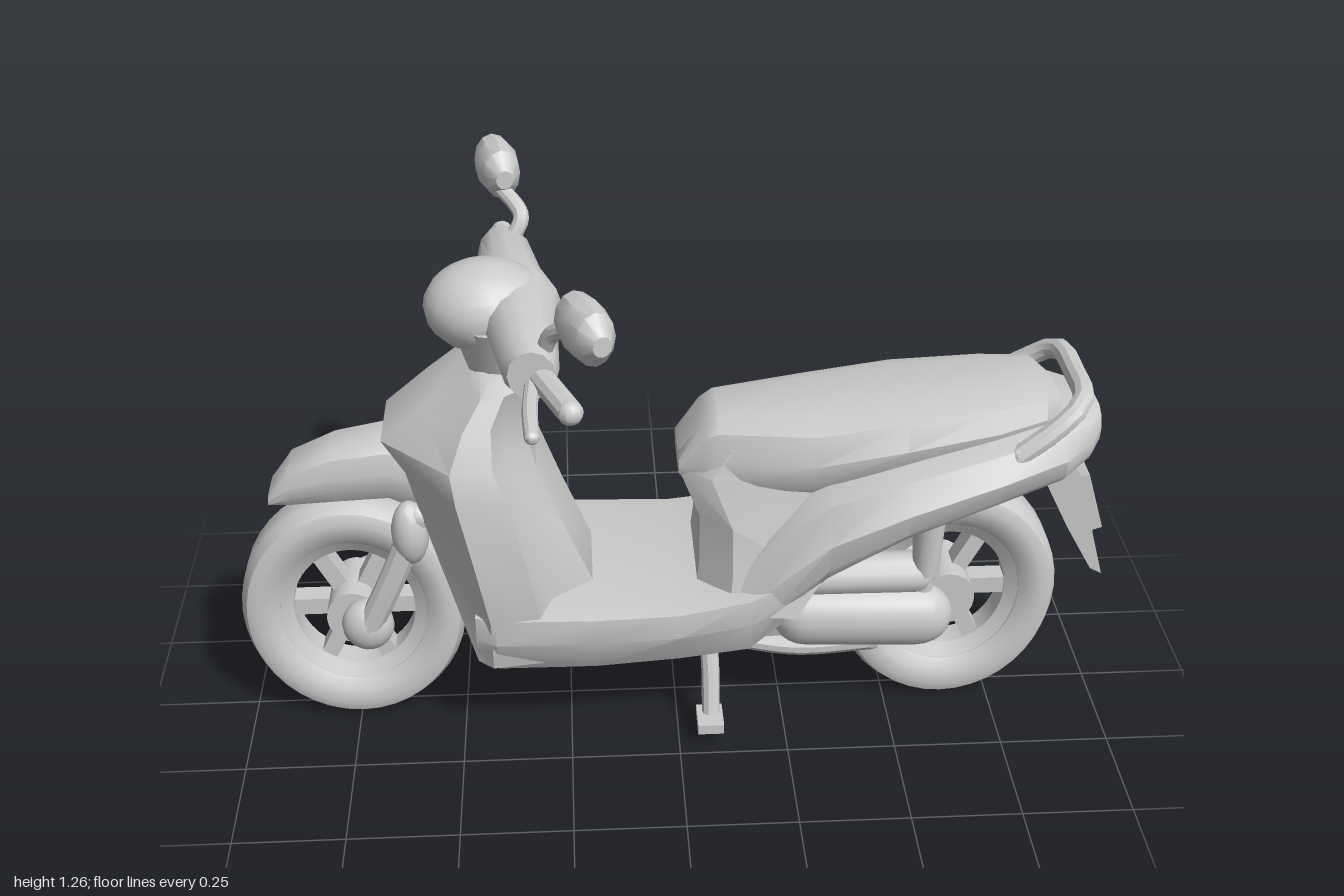
import * as THREE from 'three';
import { toCreasedNormals } from 'three/addons/utils/BufferGeometryUtils.js';

const grey = new THREE.MeshStandardMaterial({ color: 0xcccccc });
grey.name = 'grey';

export function createModel() {
  const model = new THREE.Group();
  model.name = 'scooter';

  const add = (name, geo, parent = model) => {
    const mesh = new THREE.Mesh(toCreasedNormals(geo, 0.6), grey);
    mesh.name = name;
    parent.add(mesh);
    return mesh;
  };

  // Closed skin through equal-length rings of [x, y, z], wound outward
  const loft = (rings) => {
    const n = rings[0].length, last = (rings.length - 1) * n, pos = rings.flat(2), idx = [];
    for (let r = 0; r < rings.length - 1; r++) {
      for (let i = 0; i < n; i++) {
        const a = r * n + i, b = r * n + (i + 1) % n;
        idx.push(a, b, a + n, b, b + n, a + n);
      }
    }
    for (let i = 1; i < n - 1; i++) idx.push(0, i + 1, i, last, last + i, last + i + 1);
    const p = (i) => new THREE.Vector3().fromArray(pos, idx[i] * 3);
    let volume = 0;
    for (let i = 0; i < idx.length; i += 3) volume += p(i).dot(p(i + 1).cross(p(i + 2)));
    if (volume < 0) idx.reverse();
    const geo = new THREE.BufferGeometry();
    geo.setAttribute('position', new THREE.Float32BufferAttribute(pos, 3));
    geo.setIndex(idx);
    return geo;
  };

  // Mirrors half a section [across, up] into a full loop
  const mirrored = (half) => [...half, ...half.map(([a, b]) => [-a, b]).reverse()];

  // Lengthwise hull: stations of [x, bottom, top, halfWidth]
  const hull = (name, stations, half) => add(name, loft(stations.map(([x, y0, y1, w]) =>
    mirrored(half).map(([fz, fy]) => [x, y0 + (y1 - y0) * fy, w * fz]))));

  // Oval rings along z: [z, centre x, centre y, x radius, y radius]
  const ovals = (stations) => loft(stations.map(([z, cx, cy, rx, ry]) =>
    Array.from({ length: 12 }, (_, i) => {
      const a = i * Math.PI / 6;
      return [cx + rx * Math.cos(a), cy + ry * Math.sin(a), z];
    })));

  const tube = (name, pts, r, parent) => {
    const curve = new THREE.CatmullRomCurve3(pts.map((p) => new THREE.Vector3(...p)));
    add(name, new THREE.TubeGeometry(curve, 16, r, 10), parent);
    for (const end of [pts[0], pts[pts.length - 1]]) {
      add(name + 'End', new THREE.SphereGeometry(r, 10, 8).translate(...end), parent);
    }
  };

  const blob = (name, c, s, parent) =>
    add(name, new THREE.SphereGeometry(1, 18, 12).scale(...s).translate(...c), parent);

  // Wheels, slightly taller than long
  const ringOf = (pairs) => new THREE.LatheGeometry(
    pairs.map(([r, y]) => new THREE.Vector2(r, y)), 40).rotateX(Math.PI / 2);
  const tyre = [[0.19, -0.05], [0.215, -0.066], [0.25, -0.073], [0.275, -0.064], [0.291, -0.035],
    [0.291, 0.035], [0.275, 0.064], [0.25, 0.073], [0.215, 0.066], [0.19, 0.05], [0.19, -0.05]];
  const rim = [[0.158, -0.03], [0.2, -0.052], [0.2, 0.052], [0.158, 0.03], [0.158, -0.03]];
  for (const [name, x] of [['frontWheel', -0.745], ['rearWheel', 0.637]]) {
    const wheel = new THREE.Group();
    wheel.name = name;
    wheel.position.set(x, 0.292, 0);
    wheel.scale.x = 0.885;
    add('tyre', ringOf(tyre), wheel);
    add('rim', ringOf(rim), wheel);
    add('hub', new THREE.CylinderGeometry(0.068, 0.068, 0.15, 20).rotateX(Math.PI / 2), wheel);
    for (let i = 0; i < 6; i++) {
      add('spoke', new THREE.BoxGeometry(0.042, 0.13, 0.05).translate(0, 0.11, 0)
        .rotateZ(i * Math.PI / 3 + Math.PI / 6), wheel);
    }
    model.add(wheel);
  }

  // Section shapes: [share of half width, share of height]
  const soft = [[0.5, 1], [0.85, 0.88], [1, 0.55], [0.95, 0.25], [0.75, 0]];
  const fairing = [[0.55, 1], [0.85, 0.85], [1, 0.5], [0.95, 0.2], [0.8, 0]];
  const slab = [[0.85, 1], [0.98, 0.96], [1, 0.6], [0.78, 0]];

  hull('frontFender', [[-0.91, 0.585, 0.61, 0.055], [-0.86, 0.59, 0.68, 0.07],
    [-0.76, 0.6, 0.725, 0.08], [-0.64, 0.61, 0.745, 0.09], [-0.54, 0.56, 0.73, 0.09]], soft);

  hull('footFloor', [[-0.455, 0.25, 0.4, 0.24], [-0.41, 0.228, 0.4, 0.258], [-0.19, 0.226, 0.395, 0.258],
    [0, 0.235, 0.395, 0.25], [0.16, 0.25, 0.42, 0.24], [0.24, 0.31, 0.45, 0.22]], slab);

  // Leg shield: [y, nose x, nose half width, edge x, edge half width, wing x, back x]
  add('legShield', loft([
    [0.25, -0.455, 0.2, -0.42, 0.23, -0.31, -0.19],
    [0.39, -0.5, 0.17, -0.42, 0.26, -0.31, -0.19],
    [0.55, -0.55, 0.14, -0.45, 0.26, -0.34, -0.255],
    [0.7, -0.595, 0.11, -0.48, 0.26, -0.375, -0.31],
    [0.77, -0.645, 0.09, -0.49, 0.245, -0.4, -0.325],
    [0.85, -0.55, 0.09, -0.46, 0.21, -0.4, -0.32],
    [0.91, -0.45, 0.08, -0.42, 0.175, -0.37, -0.29],
    [0.93, -0.42, 0.07, -0.4, 0.12, -0.36, -0.29],
  ].map(([y, xn, wn, xe, we, xw, xb]) =>
    mirrored([[wn, xn], [we, xe], [we - 0.015, xw], [0.18 - 0.07 * (y - 0.25), xw + 0.03], [0.1, xb]])
      .map(([z, x]) => [x, y, z]))));

  // Column below the seat: [y, front x, back x, half width]
  add('seatColumn', loft([[0.36, 0.04, 0.26, 0.21], [0.45, 0.05, 0.32, 0.19],
    [0.56, 0.05, 0.42, 0.165], [0.67, 0.005, 0.5, 0.13], [0.74, 0.05, 0.5, 0.125],
  ].map(([y, x0, x1, w]) => mirrored([[w * 0.6, x0], [w, x0 + 0.07], [w * 1.1, x1]])
    .map(([z, x]) => [x, y, z]))));

  hull('rearFairing', [[0.08, 0.27, 0.41, 0.2], [0.2, 0.3, 0.57, 0.225], [0.33, 0.45, 0.68, 0.255],
    [0.5, 0.55, 0.73, 0.258], [0.7, 0.62, 0.775, 0.235], [0.85, 0.655, 0.795, 0.185],
    [0.92, 0.68, 0.79, 0.12], [0.945, 0.7, 0.785, 0.08]], fairing);

  hull('seat', [[0.005, 0.65, 0.695, 0.085], [0.06, 0.6, 0.775, 0.115], [0.09, 0.6, 0.795, 0.125],
    [0.3, 0.62, 0.803, 0.175], [0.5, 0.66, 0.83, 0.175], [0.7, 0.7, 0.845, 0.155],
    [0.81, 0.73, 0.85, 0.125], [0.85, 0.75, 0.82, 0.08]], soft);

  tube('grabRail', [[0.74, 0.74, 0.18], [0.82, 0.795, 0.165], [0.88, 0.84, 0.13], [0.893, 0.843, 0],
    [0.88, 0.84, -0.13], [0.82, 0.795, -0.165], [0.74, 0.74, -0.18]], 0.024);

  // Rear mudguard and plate
  add('mudguard', loft([[0.79, 0.88, 0.68], [0.85, 0.945, 0.56], [0.905, 0.965, 0.45], [0.97, 0.998, 0.335]]
    .map(([x0, x1, y]) => [[x0, y + 0.015, 0.052], [x1, y, 0.052], [x1, y, -0.052], [x0, y + 0.015, -0.052]])));
  add('plate', new THREE.BoxGeometry(0.03, 0.15, 0.1).rotateZ(0.3).translate(0.95, 0.53, 0));

  // Handlebar housing, turned a little
  add('handlebarCover', ovals([[-0.31, 0.05, 0.055], [-0.28, 0.06, 0.063], [-0.12, 0.075, 0.07],
    [0, 0.1, 0.085], [0.12, 0.075, 0.07], [0.28, 0.06, 0.063], [0.31, 0.05, 0.055]]
    .map(([z, rx, ry]) => [z, -0.34 + 0.11 * z, 1.04, rx, ry])));
  blob('headlamp', [-0.405, 1.05, 0], [0.135, 0.1, 0.12]);
  add('steeringNeck', new THREE.CylinderGeometry(0.135, 0.09, 0.13, 16).scale(0.9, 1, 1)
    .translate(-0.37, 0.97, 0));

  // Controls: [side, grip root x, grip end x, mirror x, mirror turn]
  const mirrorShape = [[-0.088, 0.02, 0.024], [-0.055, 0.042, 0.057], [0, 0.05, 0.064],
    [0.055, 0.042, 0.058], [0.088, 0.02, 0.022]];
  for (const [s, x0, x1, xm, turn] of [[1, -0.29, -0.23, -0.197, 0.38], [-1, -0.36, -0.38, -0.383, 0.22]]) {
    const side = new THREE.Group();
    side.name = s > 0 ? 'leftControls' : 'rightControls';
    tube('grip', [[x0, 1.03, s * 0.29], [x1, 1.022, s * 0.43]], 0.027, side);
    tube('brakeLever', [[x0 - 0.015, 1.02, s * 0.3], [x0 - 0.02, 1.01, s * 0.4],
      [x0 - 0.016, 0.998, s * 0.48]], 0.016, side);
    tube('mirrorStem', [[x0 + 0.01, 1.08, s * 0.27], [x0 + 0.03, 1.125, s * 0.29],
      [xm, 1.175, s * 0.36]], 0.018, side);
    add('mirror', ovals(mirrorShape.map(([z, rx, ry]) => [z, 0, 0, rx, ry]))
      .rotateY(turn).translate(xm, 1.197, s * 0.41), side);
    model.add(side);
  }

  // Paired running gear
  for (const s of [1, -1]) {
    tube('forkLeg', [[-0.705, 0.29, s * 0.105], [-0.64, 0.43, s * 0.11], [-0.575, 0.59, s * 0.11]], 0.03);
    blob('forkSleeve', [-0.595, 0.545, s * 0.11], [0.042, 0.08, 0.042]);
    blob('axleCap', [-0.71, 0.285, s * 0.09], [0.06, 0.065, 0.045]);

    add('engineCase', new THREE.CapsuleGeometry(0.078, 0.26, 6, 16).rotateZ(Math.PI / 2 - 0.04)
      .scale(1, 1, 0.78).translate(0.425, 0.3, s * 0.132));
    add('airBox', new THREE.CapsuleGeometry(0.05, 0.26, 6, 12).rotateZ(Math.PI / 2)
      .translate(0.41, 0.4, s * 0.115));

    add('shockBody', new THREE.CylinderGeometry(0.038, 0.03, 0.16, 14).translate(0.565, 0.49, s * 0.13));
    add('shockRod', new THREE.CylinderGeometry(0.024, 0.024, 0.26, 12).translate(0.56, 0.45, s * 0.13));

    tube('standLeg', [[0.07, 0.25, s * 0.12], [0.075, 0.17, s * 0.145], [0.075, 0.06, s * 0.18]], 0.021);
    add('standFoot', new THREE.BoxGeometry(0.06, 0.025, 0.08).translate(0.072, 0.056, s * 0.195));
  }

  // Engine block and pipes under the floor
  hull('engineBlock', [[0.09, 0.22, 0.3, 0.1], [0.14, 0.18, 0.4, 0.12], [0.28, 0.18, 0.46, 0.12],
    [0.36, 0.2, 0.46, 0.11], [0.4, 0.22, 0.4, 0.1]], soft);
  for (const s of [1, -1]) {
    tube('lowerPipe', [[0.12, 0.21, s * 0.08], [0.28, 0.2, s * 0.11], [0.45, 0.22, s * 0.125]], 0.024);
  }

  return model;
}
